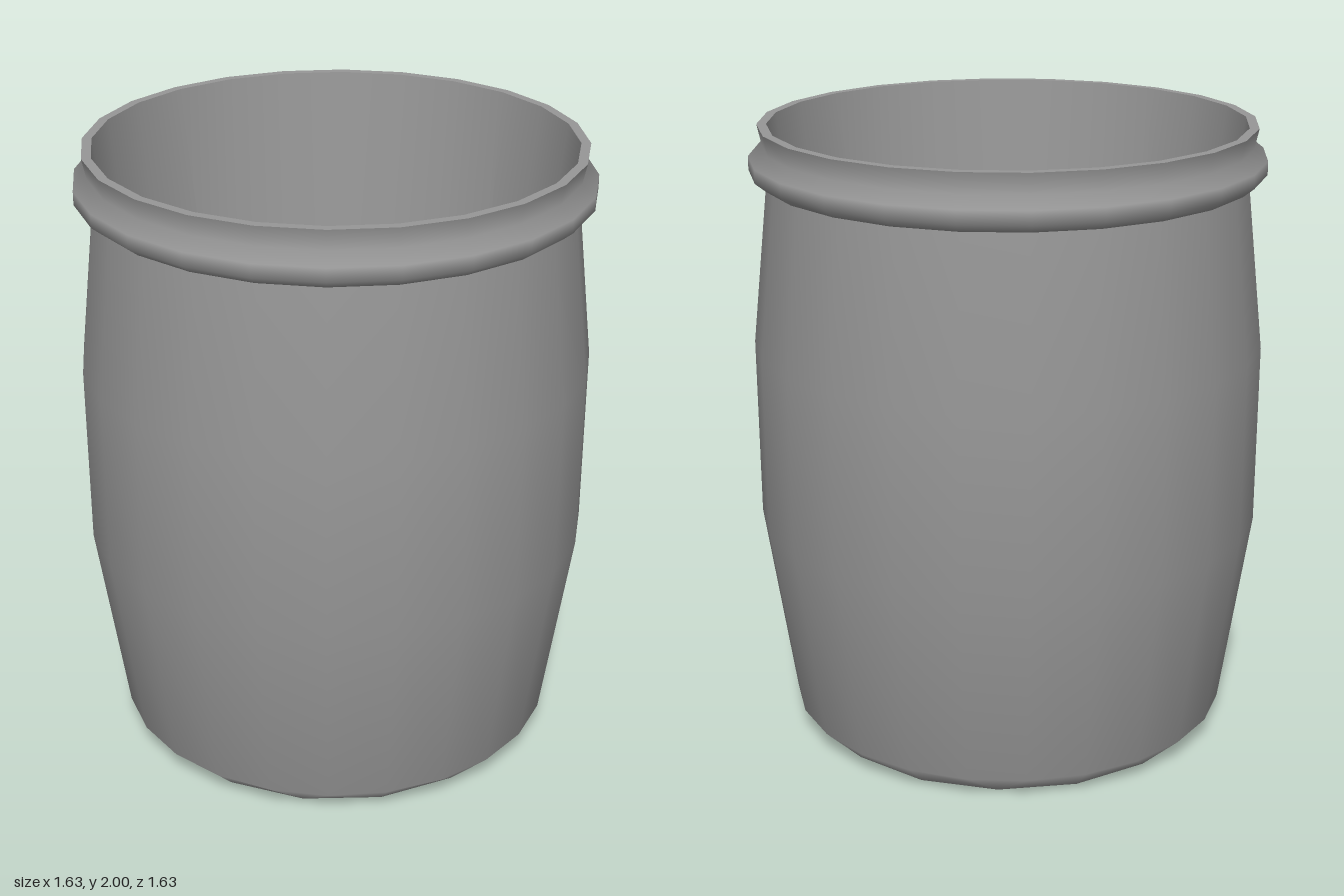
import * as THREE from 'three';

const SIDES = 24;
const material = new THREE.MeshStandardMaterial({ color: 0x979797 });

// Turn a smooth profile of [radius, height] pairs; rings in the base narrow to 16 sides
function turned(name, profile) {
  const points = profile.map(([r, y]) => new THREE.Vector2(r, y));
  const lathe = new THREE.LatheGeometry(points, SIDES);
  const pos = lathe.attributes.position;
  const n = points.length;
  for (let i = 0; i <= SIDES; i++) {
    const step = Math.round((15 * i - 15) / 22.5);
    const angle = THREE.MathUtils.degToRad(15 + 22.5 * step);
    for (let j = 0; j < n; j++) {
      const { x: r, y } = points[j];
      if (y > 0.065) continue;
      pos.setXYZ(i * n + j, r * Math.sin(angle), y, r * Math.cos(angle));
    }
  }
  const mesh = new THREE.Mesh(lathe, material);
  mesh.name = name;
  return mesh;
}

export function createModel() {
  const group = new THREE.Group();
  group.name = 'openBarrel';

  // Bulging outer wall with chamfered foot
  group.add(turned('outerWall', [[0.645, 0], [0.716, 0.07], [0.812, 0.72], [0.814, 1.3], [0.757, 1.83]]));
  group.add(turned('base', [[0, 0], [0.645, 0]]));

  // Rounded collar running up into the neck, with a flat lip
  group.add(turned('collar', [
    [0.755, 1.83], [0.778, 1.83], [0.812, 1.857], [0.812, 1.9], [0.768, 1.935], [0.782, 2],
  ]));
  group.add(turned('lip', [[0.782, 2], [0.752, 2]]));

  // Inside of the barrel, tapering evenly to the floor
  group.add(turned('innerWall', [[0.752, 2], [0.54, 0.06]]));
  group.add(turned('floor', [[0.54, 0.06], [0, 0.06]]));

  return group;
}
